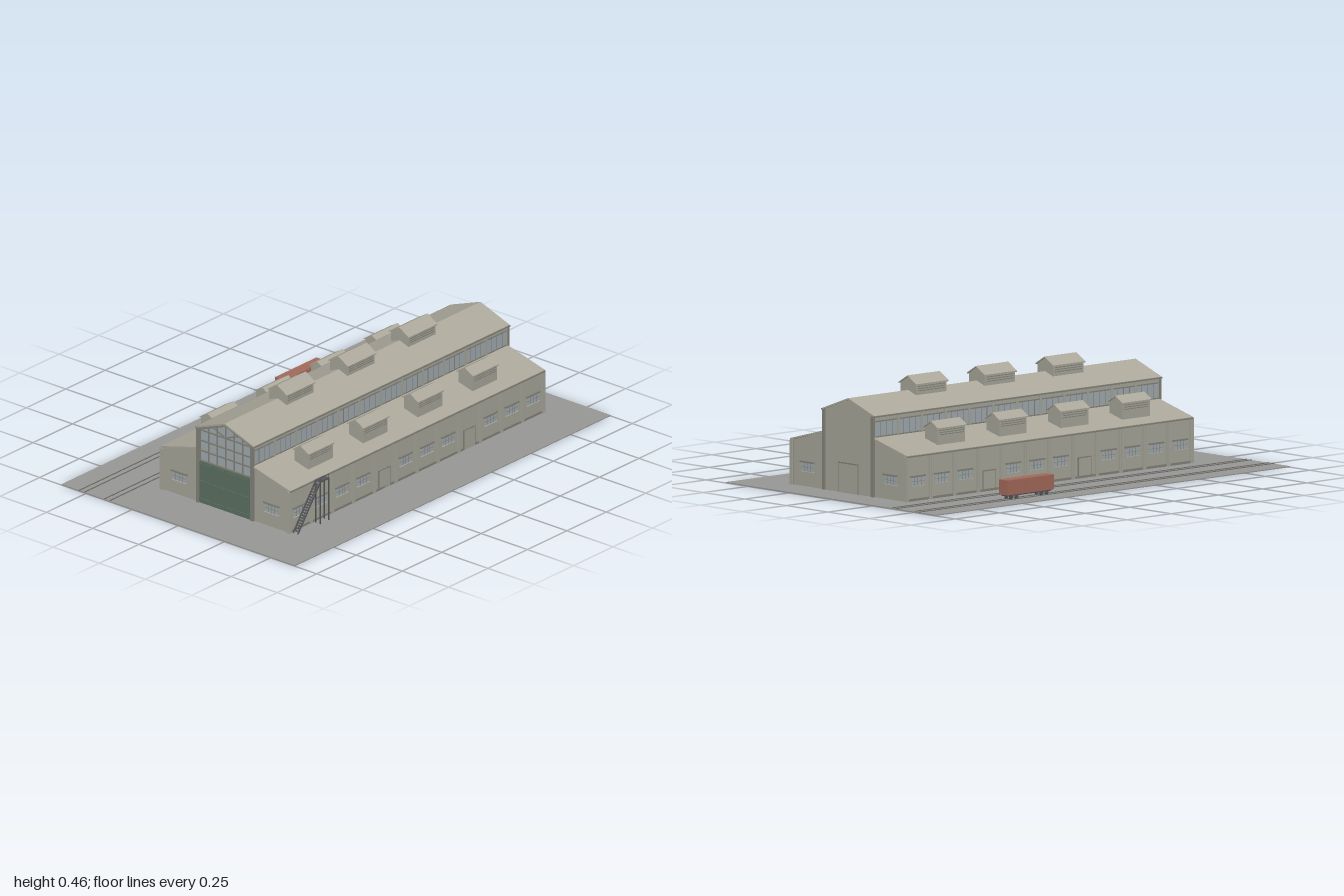
import * as THREE from 'three';

const mat = (color) => new THREE.MeshStandardMaterial({ color, side: THREE.DoubleSide });
const WALL = mat(0xa9a89c), ROOF = mat(0xada99c), TRIM = mat(0x85847b), GLASS = mat(0xa3adb1),
  GROUND = mat(0x999997), RAIL = mat(0x73716d), GREEN = mat(0x5d7263), RED = mat(0xa56b5b), DARK = mat(0x55565a);

const X0 = -0.77, X1 = 0.845, ZC = 0.058, BAYS = 12, BAY = (X1 - X0) / BAYS, LEN = X1 - X0, XM = (X0 + X1) / 2;
const WING = 0.348, NAVE = 0.148; // half depths of the wings' outer walls and of the nave

export function createModel() {
  const root = new THREE.Group();
  let parent = root;

  function add(name, geo, material) {
    const m = new THREE.Mesh(geo, material);
    m.name = name;
    parent.add(m);
    return m;
  }
  // box given by centre and size
  function box(name, material, x, y, z, w, h, d) {
    const m = add(name, new THREE.BoxGeometry(w, h, d), material);
    m.position.set(x, y, z);
    return m;
  }
  // [z, y] profile pushed along x
  function prism(name, material, pts, xa, xb) {
    const s = new THREE.Shape(pts.map(([z, y]) => new THREE.Vector2(-z, y)));
    const g = new THREE.ExtrudeGeometry(s, { depth: xb - xa, bevelEnabled: false });
    g.rotateY(Math.PI / 2).translate(xa, 0, 0);
    return add(name, g, material);
  }
  // straight bar between two points
  function bar(name, material, a, b, t) {
    const p = new THREE.Vector3(...a), q = new THREE.Vector3(...b);
    const m = add(name, new THREE.BoxGeometry(t, t, p.distanceTo(q)), material);
    m.position.copy(p).lerp(q, 0.5);
    m.lookAt(q);
    return m;
  }
  function group(name, build) {
    const g = new THREE.Group(), before = parent;
    g.name = name;
    before.add(g);
    parent = g;
    build();
    parent = before;
    return g;
  }
  // gabled roof ventilator with louvres on both long sides
  function ventilator(x, z, base, eave, peak, half, width) {
    group('roofVentilator', () => {
      const h = half - 0.006;
      prism('ventBody', WALL, [[z - h, base], [z + h, base], [z + h, eave], [z, peak - 0.005], [z - h, eave]], x - width / 2 + 0.005, x + width / 2 - 0.005);
      prism('ventRoof', ROOF, [[z - half, eave - 0.003], [z, peak - 0.005], [z + half, eave - 0.003], [z + half, eave + 0.002], [z, peak], [z - half, eave + 0.002]], x - width / 2, x + width / 2);
      for (const s of [-1, 1]) for (let i = 0; i < 3; i++)
        box('louvre', TRIM, x, eave - 0.009 - i * 0.009, z + s * h, width - 0.03, 0.003, 0.004);
    });
  }
  // framed window facing +z, placed by its group
  function windowUnit(x, y, z, turn) {
    const g = group('window', () => {
      box('pane', GLASS, 0, 0, 0.001, 0.072, 0.036, 0.004);
      box('lintel', TRIM, 0, 0.021, 0.003, 0.084, 0.007, 0.009);
      box('sill', WALL, 0, -0.021, 0.003, 0.08, 0.004, 0.009);
      for (let i = -1; i <= 1; i++) box('mullion', TRIM, i * 0.018, 0, 0.002, 0.0015, 0.036, 0.005);
      box('glazingBar', TRIM, 0, 0, 0.002, 0.072, 0.0015, 0.005);
    });
    g.position.set(x, y, z);
    g.rotation.y = turn;
  }

  // ground and tracks
  box('ground', GROUND, 0, 0.002, 0, 2, 0.004, 1.264);
  for (const z of [-0.52, -0.385]) for (const s of [-1, 1])
    box('rail', RAIL, 0, 0.005, z + s * 0.014, 2, 0.004, 0.004);

  // side aisles, mirrored about the nave
  for (const s of [-1, 1]) group(s > 0 ? 'frontAisle' : 'backAisle', () => {
    const Z = (d) => ZC + s * d, turn = s > 0 ? 0 : Math.PI;
    prism('aisleBody', WALL, [[Z(NAVE), 0], [Z(WING - 0.006), 0], [Z(WING - 0.006), 0.19], [Z(NAVE), 0.244]], X0 + 0.004, X1 - 0.004);
    prism('aisleRoof', ROOF, [[Z(NAVE), 0.243], [Z(WING + 0.004), 0.189], [Z(WING + 0.004), 0.196], [Z(NAVE), 0.25]], X0, X1);
    box('gutter', TRIM, XM, 0.191, Z(WING + 0.003), LEN, 0.006, 0.006);
    box('plinth', TRIM, XM, 0.008, Z(WING - 0.004), LEN, 0.012, 0.006);
    for (let i = 0; i <= BAYS; i++) {
      const x = X0 + 0.004 + i * (LEN - 0.008) / BAYS;
      for (const o of [-0.005, 0.005]) box('pilaster', WALL, x + o, 0.095, Z(WING - 0.004), 0.006, 0.19, 0.016);
      box('pilasterWeb', TRIM, x, 0.095, Z(WING - 0.005), 0.004, 0.19, 0.01);
    }
    for (let i = 0; i < BAYS; i++) {
      const x = X0 + (i + 0.5) * BAY;
      if (i === 4 || i === 8) {
        box('door', TRIM, x, 0.046, Z(WING - 0.005), 0.074, 0.092, 0.006);
        box('doorLeaf', WALL, x, 0.045, Z(WING - 0.004), 0.066, 0.084, 0.006);
      } else windowUnit(x, 0.085, Z(WING - 0.006), turn);
    }
    // gable ends of the aisle
    for (const e of [-1, 1]) {
      const x = e > 0 ? X1 - 0.004 : X0 + 0.004;
      windowUnit(x, 0.085, Z(0.25), e * Math.PI / 2);
      box('cornerPost', TRIM, x, 0.095, Z(WING - 0.006), 0.01, 0.19, 0.01);
    }
    for (let i = 0; i < 4; i++) ventilator(-0.505 + i * 0.347, Z(0.252), 0.2, 0.281, 0.309, 0.044, 0.165);
  });

  // nave side walls with a continuous glazed band
  for (const s of [-1, 1]) group('clerestory', () => {
    const z = ZC + s * (NAVE - 0.004), face = z + s * 0.004;
    box('naveWall', WALL, XM, 0.17, z, LEN - 0.006, 0.34, 0.008);
    box('glassBand', GLASS, XM, 0.285, face, LEN - 0.02, 0.06, 0.004);
    for (const y of [0.253, 0.317, 0.336]) box('bandRail', TRIM, XM, y, face, LEN, 0.005, 0.009);
    for (let i = 0; i <= BAYS; i++) {
      const x = X0 + 0.004 + i * (LEN - 0.008) / BAYS;
      box('bandPost', WALL, x, 0.293, face, 0.012, 0.09, 0.01);
      if (i < BAYS) for (const k of [0.25, 0.5, 0.75]) box('bandMullion', TRIM, x + k * BAY, 0.285, face, 0.002, 0.06, 0.007);
    }
    for (const x of [X0, X1]) box('navePost', TRIM, x, 0.17, z + s * 0.003, 0.012, 0.34, 0.014);
  });

  // nave roof
  const E = NAVE + 0.01;
  prism('naveRoof', ROOF, [[ZC - E, 0.335], [ZC, 0.392], [ZC + E, 0.335], [ZC + E, 0.342], [ZC, 0.4], [ZC - E, 0.342]], X0 - 0.004, X1 + 0.003);
  for (const s of [-1, 1]) box('naveGutter', TRIM, XM, 0.338, ZC + s * E, LEN + 0.008, 0.006, 0.006);
  for (let i = 0; i < 3; i++) ventilator(-0.35 + i * 0.386, ZC, 0.36, 0.427, 0.461, 0.053, 0.182);

  // closed gable with a large door
  group('closedGable', () => {
    prism('gableWall', WALL, [[ZC - NAVE, 0], [ZC + NAVE, 0], [ZC + NAVE, 0.338], [ZC, 0.393], [ZC - NAVE, 0.338]], X1 - 0.01, X1);
    box('gateFrame', TRIM, X1, 0.065, ZC, 0.004, 0.13, 0.12);
    for (const s of [-1, 1]) box('gateLeaf', WALL, X1 + 0.001, 0.063, ZC + s * 0.0285, 0.005, 0.122, 0.055);
  });

  // glazed gable with green folding doors
  group('glazedGable', () => {
    const x = X0 + 0.006, top = (d) => 0.386 - Math.abs(d) * 0.37;
    prism('gableGlass', GLASS, [[ZC - NAVE, 0.19], [ZC + NAVE, 0.19], [ZC + NAVE, 0.336], [ZC, 0.39], [ZC - NAVE, 0.336]], x, x + 0.003);
    for (let i = -3; i <= 3; i++) {
      const d = i * 0.046;
      box('gableMullion', TRIM, x, (0.19 + top(d)) / 2, ZC + d, 0.009, top(d) - 0.19, 0.005);
    }
    for (const y of [0.195, 0.24, 0.285, 0.332]) box('gableRail', TRIM, x, y, ZC, 0.011, 0.006, 2 * NAVE);
    for (const s of [-1, 1]) {
      bar('gableRafter', TRIM, [x, 0.333, ZC + s * NAVE], [x, 0.388, ZC], 0.009);
      bar('gableBrace', TRIM, [x, 0.332, ZC], [x, 0.36, ZC + s * 0.07], 0.006);
    }
    for (let i = 0; i < 4; i++) {
      const z = ZC + (i - 1.5) * 0.071;
      box('greenDoor', GREEN, x, 0.096, z, 0.01, 0.188, 0.069);
      for (const y of [0.02, 0.1, 0.178]) box('doorRail', GREEN, x - 0.006, y, z, 0.004, 0.008, 0.065);
    }
  });

  // outside stair on the front wall
  group('stair', () => {
    const zs = [0.415, 0.44], a = [-0.757, 0.006], b = [-0.615, 0.192], n = 20;
    for (const z of zs) {
      bar('stringer', DARK, [...a, z], [...b, z], 0.005);
      bar('landingBeam', DARK, [...b, z], [-0.56, b[1], z], 0.004);
      box('landingPost', DARK, -0.56, 0.096, z, 0.004, 0.192, 0.004);
      box('landingPost', DARK, b[0], 0.096, z, 0.004, 0.192, 0.004);
    }
    for (let i = 1; i < n; i++)
      box('tread', DARK, a[0] + (b[0] - a[0]) * i / n, a[1] + (b[1] - a[1]) * i / n, 0.4275, 0.009, 0.002, 0.028);
    box('landing', DARK, -0.588, 0.194, 0.425, 0.058, 0.003, 0.034);
    bar('handrail', DARK, [a[0], 0.03, zs[1]], [b[0], 0.212, zs[1]], 0.002);
    bar('handrail', DARK, [b[0], 0.212, zs[1]], [-0.56, 0.212, zs[1]], 0.002);
    for (const x of [b[0], -0.56]) box('railPost', DARK, x, 0.203, zs[1], 0.002, 0.02, 0.002);
  });

  // goods wagon
  group('wagon', () => {
    const x = 0.383, z = -0.52;
    box('wagonBody', RED, x, 0.057, z, 0.262, 0.062, 0.05);
    box('wagonFrame', DARK, x, 0.023, z, 0.25, 0.006, 0.034);
    for (const s of [-1, 1]) {
      box('wagonDoor', RED, x, 0.056, z + s * 0.025, 0.06, 0.054, 0.004);
      for (const e of [-0.1, -0.07, 0.07, 0.1]) {
        const w = add('wheel', new THREE.CylinderGeometry(0.009, 0.009, 0.005, 14), DARK);
        w.rotation.x = Math.PI / 2;
        w.position.set(x + e, 0.015, z + s * 0.014);
      }
    }
  });

  return root;
}
